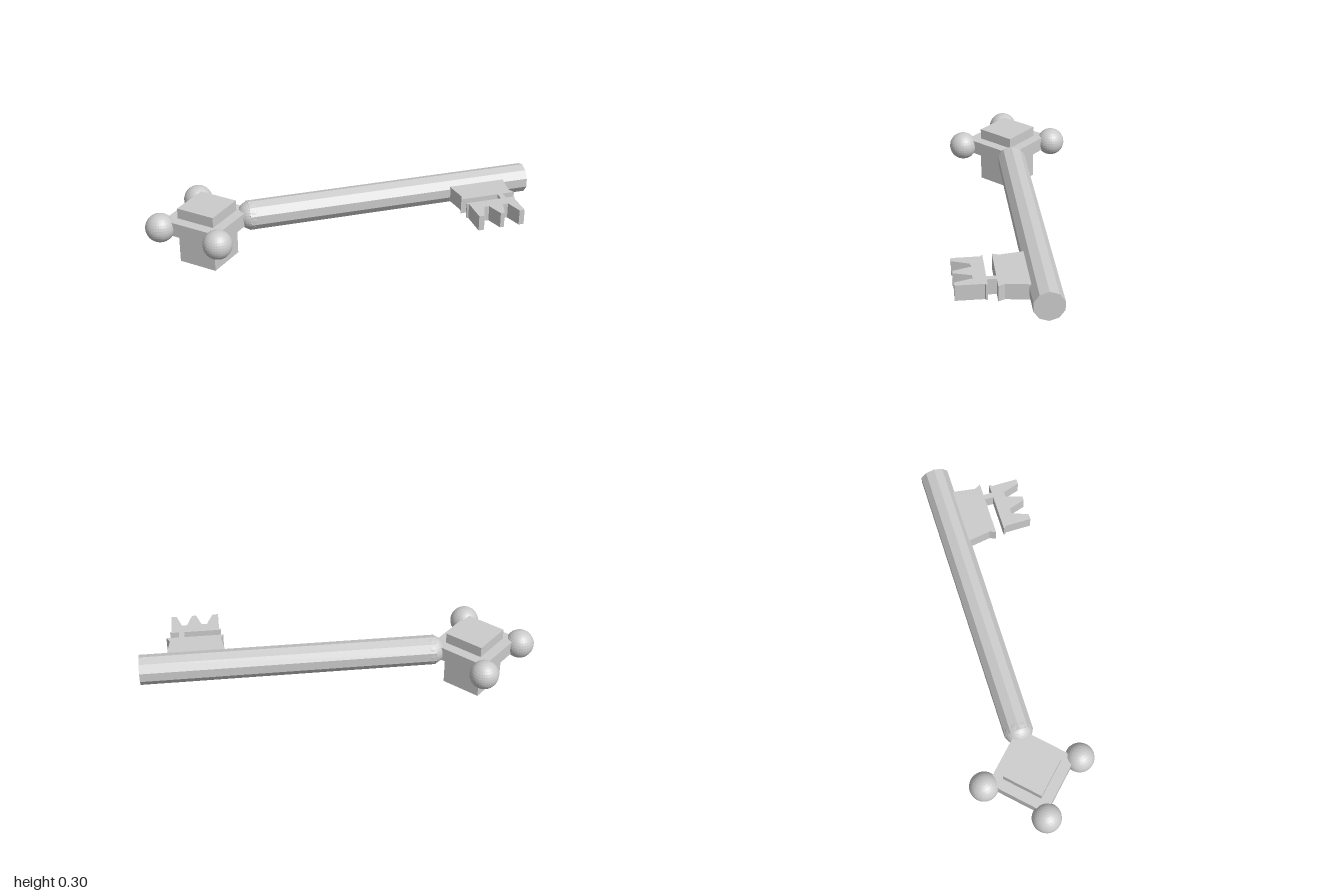
import * as THREE from 'three';

export function createModel() {
  const model = new THREE.Group();
  const material = new THREE.MeshStandardMaterial({ color: 0xcccccc, flatShading: true });
  const axisY = 0.205, axisZ = -0.046, headX = -0.69;

  const add = (name, geometry, x, y, z) => {
    const mesh = new THREE.Mesh(geometry, material);
    mesh.name = name;
    mesh.position.set(x, y, z);
    model.add(mesh);
    return mesh;
  };

  // Ten-sided shaft, corners on the horizontal midline
  const start = -0.485;
  const shaft = new THREE.CylinderGeometry(0.075, 0.075, 1 - start, 10);
  shaft.rotateZ(-Math.PI / 2);
  shaft.rotateX(Math.PI / 2);
  // turn so that corners lie at +z and -z
  shaft.rotateX(Math.PI);
  add('shaft', shaft, (1 + start) / 2, axisY, axisZ);

  // Head: tall block and a wider collar, both set corner-on
  const diamond = (halfDiagonal, height) => {
    const side = halfDiagonal * Math.SQRT2;
    return new THREE.BoxGeometry(side, height, side).rotateY(Math.PI / 4);
  };
  add('headBlock', diamond(0.147, 0.297), headX, 0.1485, axisZ);
  add('headCollar', diamond(0.222, 0.073), headX, 0.206, axisZ);

  // Balls on the collar corners; the fourth caps the shaft
  const ball = new THREE.SphereGeometry(0.073, 32, 16);
  add('outerBall', ball, -0.927, axisY, axisZ);
  add('frontBall', ball, headX, axisY, axisZ + 0.246);
  add('backBall', ball, headX, axisY, axisZ - 0.243);
  add('shaftBall', ball, -0.466, axisY, axisZ);

  // Key bit: flared plate, thin neck and toothed plate
  const outline = [
    [0.57, -0.03], [0.57, 0.02], [0.588, 0.133], [0.575, 0.165],
    [0.773, 0.165], [0.773, 0.21], [0.585, 0.21], [0.585, 0.218], [0.594, 0.222],
    [0.594, 0.358], [0.623, 0.358], [0.655, 0.273], [0.682, 0.273],
    [0.709, 0.358], [0.73, 0.358], [0.757, 0.273], [0.784, 0.273],
    [0.81, 0.358], [0.837, 0.358], [0.837, 0.222], [0.845, 0.218], [0.845, 0.21],
    [0.8, 0.21], [0.8, 0.165], [0.864, 0.165], [0.848, 0.133],
    [0.864, 0.02], [0.864, -0.03],
  ].map(([x, z]) => new THREE.Vector2(x, z));
  const bit = new THREE.ExtrudeGeometry(new THREE.Shape(outline), { depth: 0.08, bevelEnabled: false });
  bit.rotateX(Math.PI / 2);
  add('keyBit', bit, 0, 0.24, 0);

  return model;
}
